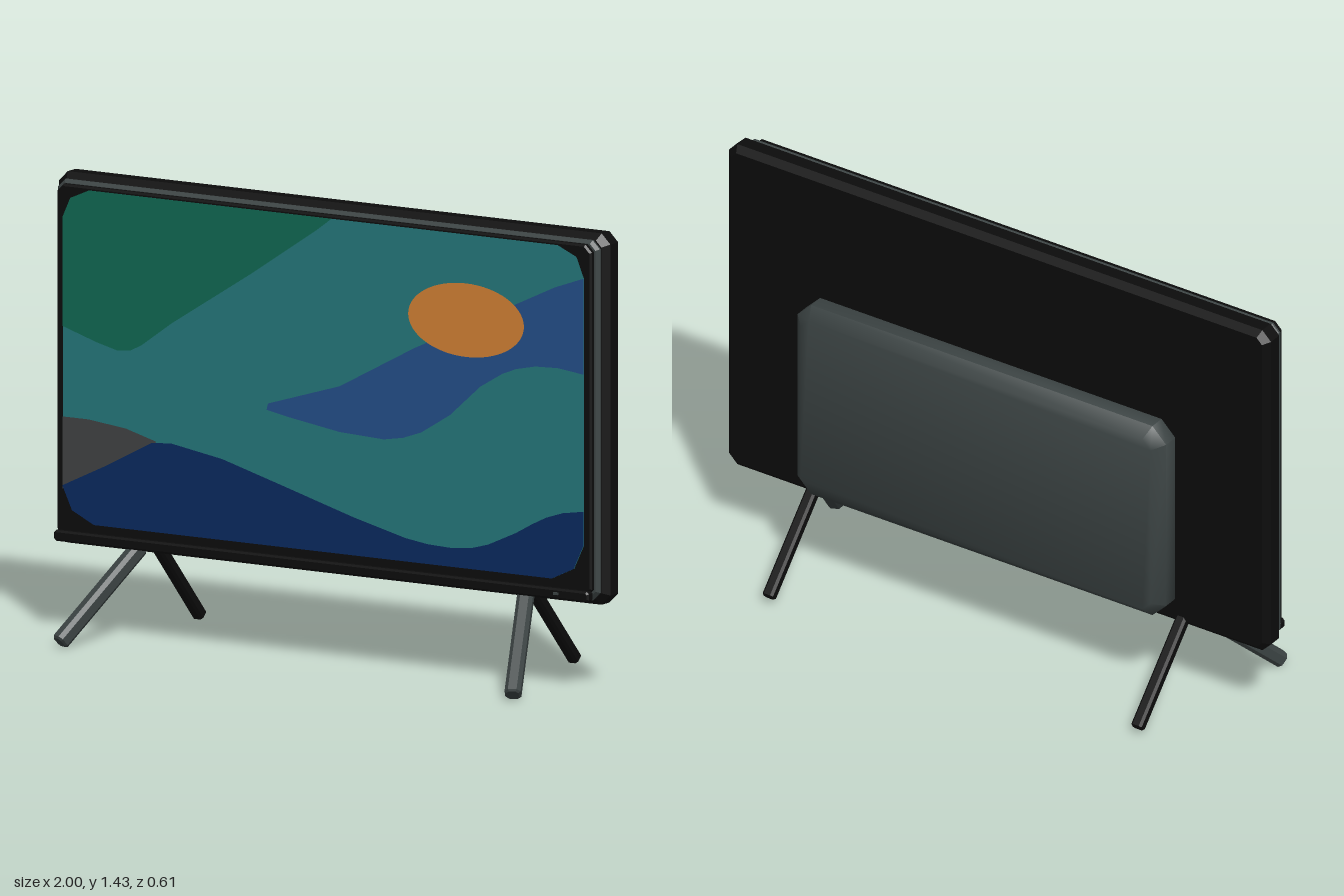
import * as THREE from 'three';
import { toCreasedNormals } from 'three/addons/utils/BufferGeometryUtils.js';

const mat = (name, color) => Object.assign(new THREE.MeshStandardMaterial({ color }), { name });

// Straight-edged shape from [x, y] pairs
const polygon = (pts) => new THREE.Shape(pts.map(([x, y]) => new THREE.Vector2(x, y)));

// Slab with chamfered corners and rims, lying between z0 and z1, centred on x and y
function slab(w, h, z0, z1, corner, bevel) {
  const a = w / 2 - bevel, b = h / 2 - bevel, c = corner;
  const shape = polygon([[-a + c, -b], [a - c, -b], [a, -b + c], [a, b - c],
    [a - c, b], [-a + c, b], [-a, b - c], [-a, -b + c]]);
  const geo = new THREE.ExtrudeGeometry(shape, {
    depth: z1 - z0 - 2 * bevel, bevelEnabled: true, bevelThickness: bevel, bevelSize: bevel, bevelSegments: 1,
  });
  return geo.translate(0, 0, z0 + bevel);
}

export function createModel() {
  const group = new THREE.Group();
  const black = mat('black casing', 0x0c0c0c);
  const grey = mat('dark grey', 0x3b4343);
  const teal = mat('teal', 0x25787c);
  const green = mat('green', 0x106953);
  const navy = mat('navy', 0x0a2a60);
  const blue = mat('blue', 0x24508a);
  const orange = mat('orange', 0xd38235);
  const charcoal = mat('charcoal', 0x414344);

  const add = (name, geo, material, x = 0, y = 0, z = 0) => {
    const mesh = new THREE.Mesh(geo, material);
    mesh.name = name;
    mesh.position.set(x, y, z);
    group.add(mesh);
    return mesh;
  };

  // Cabinet, metal trim and front bezel
  add('cabinet', slab(2, 1.16, -0.055, 0.03, 0.02, 0.02), black, 0, 0.848);
  add('trim', slab(1.965, 1.125, 0.027, 0.053, 0.02, 0.01), grey, 0, 0.848);
  add('bezel', slab(1.94, 1.1, 0.05, 0.074, 0.02, 0.006), black, 0, 0.85);

  // Chin bar with its indicator
  add('chinBar', slab(1.94, 0.034, 0.06, 0.092, 0.004, 0.006), black, 0, 0.303);
  add('indicator', new THREE.BoxGeometry(0.018, 0.008, 0.008), grey, 0.855, 0.305, 0.093);

  // Rear electronics housing with softened edges
  add('rearHousing', toCreasedNormals(slab(1.36, 0.685, -0.17, -0.05, 0.03, 0.035), 0.9), grey, 0, 0.672);

  // Screen picture: thin layers, each just in front of the last
  let layer = 0;
  const paint = (name, shape, material) =>
    add(name, new THREE.ShapeGeometry(shape, 32), material, 0, 0, 0.0755 + 0.0008 * layer++);

  const topLeft = [[-0.945, 1.3], [-0.918, 1.36], [-0.85, 1.39]];
  const topRight = [[0.85, 1.39], [0.918, 1.36], [0.945, 1.295]];
  const bottomRight = [[0.945, 0.46], [0.91, 0.385], [0.83, 0.347]];
  const bottomLeft = [[-0.83, 0.347], [-0.91, 0.385], [-0.945, 0.46]];
  paint('screen', polygon([...topLeft, ...topRight, ...bottomRight, ...bottomLeft]), teal);

  paint('greenHill', polygon([...topLeft, [0.03, 1.39], [-0.03, 1.345], [-0.26, 1.19], [-0.55, 1.005],
    [-0.66, 0.925], [-0.7, 0.905], [-0.745, 0.9], [-0.82, 0.918], [-0.945, 0.957]]), green);

  paint('blueWave', polygon([[-0.205, 0.77], [-0.2, 0.79], [0.06, 0.87], [0.33, 1.016], [0.72, 1.2],
    [0.84, 1.257], [0.945, 1.295], [0.945, 0.995], [0.85, 1.006], [0.77, 1.003], [0.7, 0.988], [0.65, 0.968],
    [0.57, 0.92], [0.46, 0.82], [0.355, 0.755], [0.29, 0.732], [0.22, 0.72], [0.06, 0.727],
    [-0.125, 0.755]]), blue);

  paint('greyHill', polygon([[-0.945, 0.675], [-0.85, 0.675], [-0.715, 0.66], [-0.605, 0.63],
    [-0.62, 0.6], [-0.945, 0.45]]), charcoal);

  paint('navyWave', polygon([...bottomLeft, [-0.79, 0.535], [-0.62, 0.625], [-0.55, 0.63], [-0.365, 0.6],
    [-0.15, 0.54], [0.115, 0.465], [0.3, 0.42], [0.38, 0.409], [0.46, 0.406], [0.54, 0.413], [0.6, 0.43],
    [0.7, 0.476], [0.76, 0.51], [0.81, 0.535], [0.87, 0.555], [0.945, 0.567], ...bottomRight]), navy);

  const sun = new THREE.Shape();
  sun.absellipse(0.52, 1.123, 0.21, 0.115, 0, Math.PI * 2);
  paint('sun', sun, orange);

  // Splayed legs: chamfered bars laid from the cabinet to the foot
  const leg = (name, from, to, width, corner, material) => {
    const a = new THREE.Vector3(...from), b = new THREE.Vector3(...to);
    const bar = add(name, slab(width, width, 0, a.distanceTo(b), corner, 0.006), material, ...from);
    bar.lookAt(b);
  };
  for (const s of [-1, 1]) {
    const side = s > 0 ? 'Left' : 'Right';
    leg('frontLeg' + side, [s * 0.7, 0.285, 0.018], [s * 0.822, 0.015, 0.29], 0.05, 0.008, grey);
    leg('rearLeg' + side, [s * 0.68, 0.31, -0.02], [s * 0.68, 0.02, -0.295], 0.038, 0.004, black);
  }
  return group;
}
